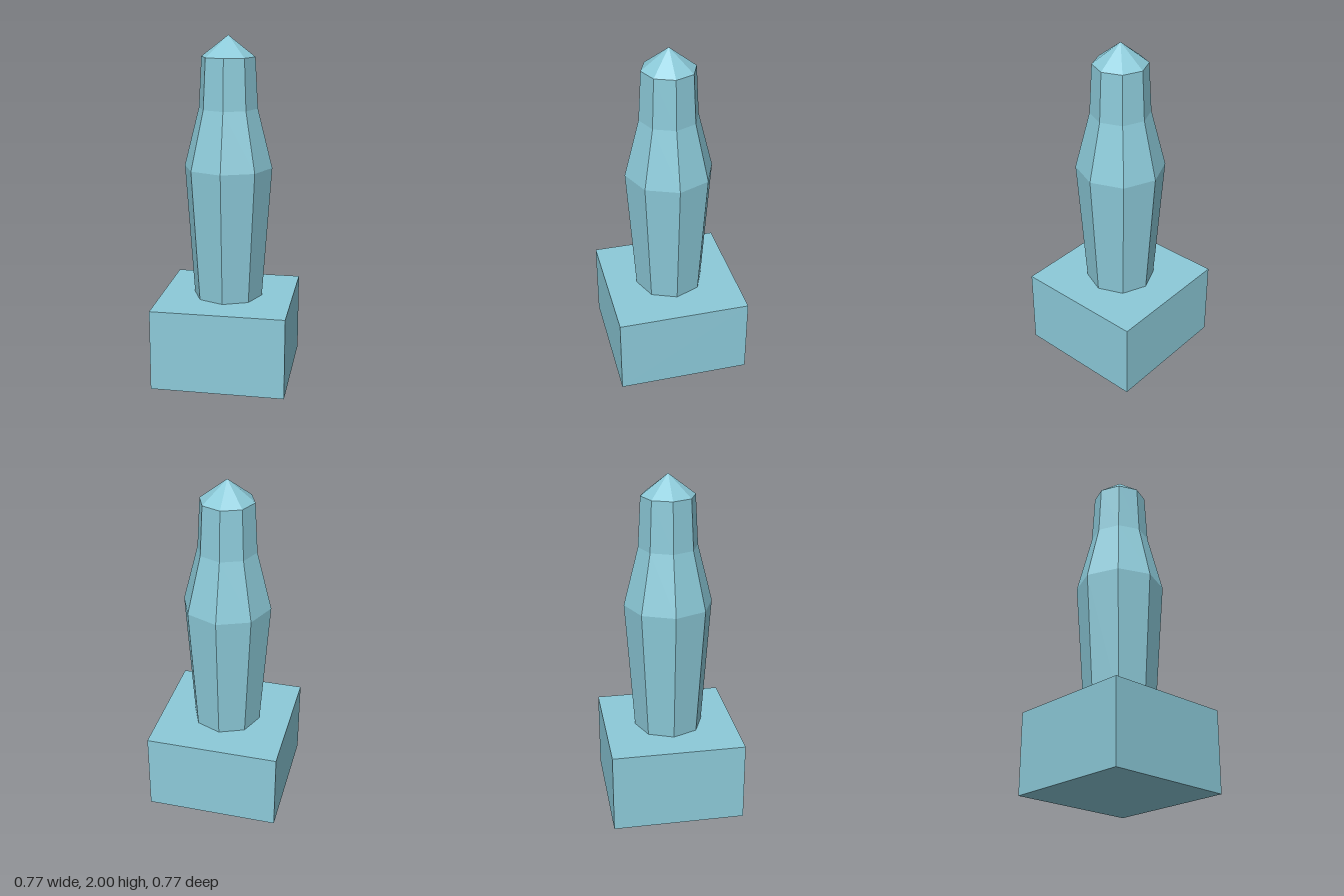
import * as THREE from 'three';

export function createModel() {
  const model = new THREE.Group();
  model.name = 'bollard';
  const paleBlue = new THREE.MeshStandardMaterial({ color: 0x8ccad9, flatShading: true });
  paleBlue.name = 'paleBlue';

  const add = (name, geometry, y = 0) => {
    const mesh = new THREE.Mesh(geometry, paleBlue);
    mesh.name = name;
    mesh.position.y = y;
    model.add(mesh);
  };

  // Eight-sided turned part from [radius, height] pairs, listed bottom to top
  const turned = (profile) =>
    new THREE.LatheGeometry(profile.map(([r, y]) => new THREE.Vector2(r, y)), 8);

  // Square block the post stands on
  const baseHeight = 0.475;
  add('base', new THREE.BoxGeometry(0.775, baseHeight, 0.775), baseHeight / 2);

  // Post: widens to the shoulder, then narrows to the neck
  add('post', turned([[0.203, baseHeight], [0.257, 1.25], [0.171, 1.59], [0.155, 1.88]]));

  // Pointed cap
  add('cap', turned([[0.155, 1.88], [0, 2]]));

  return model;
}
